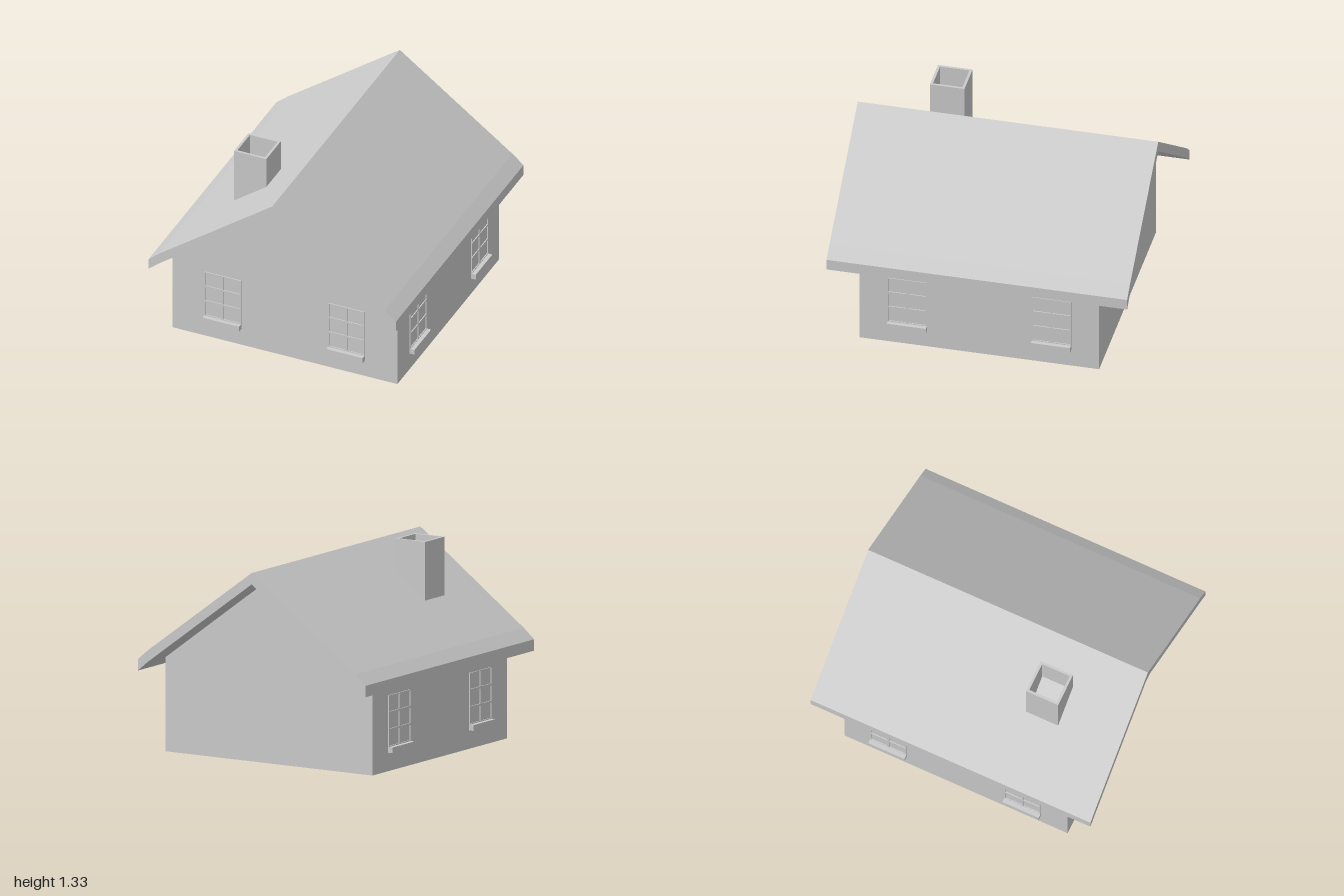
import * as THREE from 'three';

const material = new THREE.MeshStandardMaterial({ color: 0xcccccc, flatShading: true });

function polygon(points) {
  return new THREE.Shape(points.map(([x, y]) => new THREE.Vector2(x, y)));
}

function rectangle(x0, y0, x1, y1) {
  return polygon([[x0, y0], [x1, y0], [x1, y1], [x0, y1]]);
}

function mesh(name, geometry) {
  const m = new THREE.Mesh(geometry, material);
  m.name = name;
  return m;
}

// Extrude a shape along z, starting at z0
function slab(shape, z0, z1) {
  return new THREE.ExtrudeGeometry(shape, { depth: z1 - z0, bevelEnabled: false }).translate(0, 0, z0);
}

// Six-pane window with a projecting sill; its back lies on z = 0
function createWindow() {
  const group = new THREE.Group();
  group.name = 'window';
  const half = 0.13, bottom = 0.16, top = 0.5, border = 0.006, bar = 0.012;
  const paneW = (2 * half - 2 * border - bar) / 2;
  const paneH = (top - bottom - 2 * border - 2 * bar) / 3;
  const frame = rectangle(-half, bottom, half, top);
  for (let col = 0; col < 2; col++) {
    for (let row = 0; row < 3; row++) {
      const x = -half + border + col * (paneW + bar);
      const y = bottom + border + row * (paneH + bar);
      frame.holes.push(rectangle(x, y, x + paneW, y + paneH));
    }
  }
  group.add(mesh('windowFrame', slab(frame, -0.005, 0.007)));
  group.add(mesh('windowSill', slab(rectangle(-half, 0.122, half, 0.16), -0.005, 0.036)));
  return group;
}

export function createModel() {
  const house = new THREE.Group();
  house.name = 'house';

  // Gabled body
  const body = polygon([[-0.8, 0], [0.8, 0], [0.8, 0.62], [0, 1.21], [-0.8, 0.62]]);
  house.add(mesh('walls', slab(body, -0.795, 0.8)));

  // Roof with slightly steeper eaves
  const roof = polygon([
    [0.88, 0.555], [0.88, 0.63], [0.8, 0.698], [0, 1.285], [-0.8, 0.698],
    [-0.88, 0.63], [-0.88, 0.555], [-0.8, 0.622], [0, 1.21], [0.8, 0.622],
  ]);
  house.add(mesh('roof', slab(roof, -1, 1)));

  // Hollow square chimney
  const chimney = rectangle(-0.115, -0.115, 0.115, 0.115);
  chimney.holes.push(rectangle(-0.098, -0.098, 0.098, 0.098));
  const flue = mesh('chimney', slab(chimney, 0.9, 1.33).rotateX(-Math.PI / 2));
  flue.position.set(-0.35, 0, 0.46);
  house.add(flue);

  // Two windows on the front and on each long side
  const walls = [['front', 0], ['left', Math.PI / 2], ['right', -Math.PI / 2]];
  for (const [name, angle] of walls) {
    const side = new THREE.Group();
    side.name = name + 'Windows';
    for (const offset of [-0.44, 0.44]) {
      const w = createWindow();
      w.position.set(name === 'front' ? offset : offset * 1.09, 0, 0.8);
      side.add(w);
    }
    side.rotation.y = angle;
    house.add(side);
  }
  return house;
}
